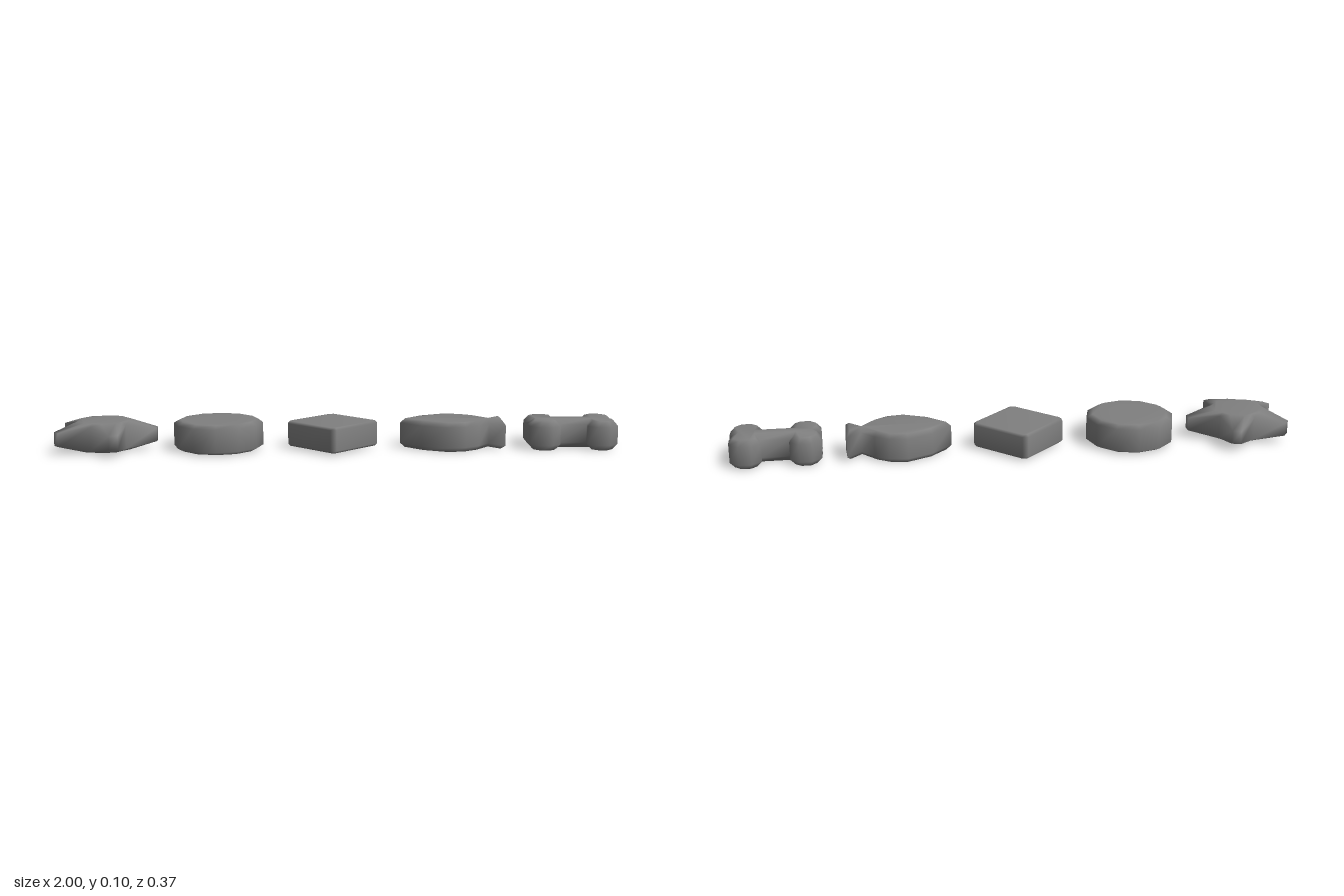
import * as THREE from 'three';

const MID = 0.0525; // height of the shared middle plane
const material = new THREE.MeshStandardMaterial({ color: 0x808080 });

// Moves a counter-clockwise outline inward with mitred corners.
function inset(points, d) {
  const n = points.length;
  const normal = (a, b) => new THREE.Vector2(b.y - a.y, a.x - b.x).normalize();
  return points.map((p, i) => {
    const n1 = normal(points[(i + n - 1) % n], p);
    const n2 = normal(p, points[(i + 1) % n]);
    const k = -d / (1 + n1.dot(n2));
    return p.clone().addScaledVector(n1.add(n2), k);
  });
}

// Skins rings (bottom to top) of { points, y } and caps both ends, smooth shaded.
function skin(name, rings, x) {
  const n = rings[0].points.length;
  const pos = [], index = [];
  for (const { points, y } of rings) {
    points.forEach((p, i) => pos.push(p.x, Array.isArray(y) ? y[i] : y, -p.y));
  }
  for (let r = 0; r < rings.length - 1; r++) {
    for (let i = 0; i < n; i++) {
      const a = r * n + i, b = r * n + (i + 1) % n;
      index.push(a, b, b + n, a, b + n, a + n);
    }
  }
  const top = (rings.length - 1) * n;
  for (const [a, b, c] of THREE.ShapeUtils.triangulateShape(rings[0].points, [])) {
    index.push(c, b, a, top + a, top + b, top + c);
  }
  const geometry = new THREE.BufferGeometry();
  geometry.setAttribute('position', new THREE.Float32BufferAttribute(pos, 3));
  geometry.setIndex(index);
  geometry.computeVertexNormals();
  const mesh = new THREE.Mesh(geometry, material);
  mesh.name = name;
  mesh.position.set(x, MID, 0);
  return mesh;
}

// Flat piece with a bevel of the given depth (inward) and drop (vertical).
function slab(name, points, half, depth, drop, x) {
  const inner = inset(points, depth);
  return skin(name, [
    { points: inner, y: -half },
    { points, y: -half + drop },
    { points, y: half - drop },
    { points: inner, y: half },
  ], x);
}

const polygon = (sides, r) => Array.from({ length: sides }, (_, i) => {
  const a = i / sides * Math.PI * 2;
  return new THREE.Vector2(Math.cos(a) * r, Math.sin(a) * r);
});

const outline = (pairs) => pairs.map(([x, y]) => new THREE.Vector2(x, y));

// Star with blunt arms that thin out toward the tips.
function star() {
  const outer = [], inner = [], heights = [];
  const O = new THREE.Vector2();
  for (let i = 0; i < 5; i++) {
    const a = i / 5 * Math.PI * 2;
    const add = (r, side, innerR, innerSide, turn, h) => {
      outer.push(new THREE.Vector2(r, side).rotateAround(O, turn));
      inner.push(new THREE.Vector2(innerR, innerSide).rotateAround(O, turn));
      heights.push(h);
    };
    add(0.188, -0.016, 0.092, -0.026, a, 0.024);
    add(0.188, 0.016, 0.092, 0.026, a, 0.024);
    add(0.106, 0, 0.088, 0, a + Math.PI / 5, 0.042);
  }
  return skin('star', [
    { points: inner, y: -0.052 },
    { points: outer, y: heights.map((h) => -h) },
    { points: outer, y: heights },
    { points: inner, y: 0.052 },
  ], -0.838);
}

// Fish: oval body with a pointed nose, narrowing to a flared tail.
function fish() {
  const lower = [
    [-0.1, -0.072], [-0.01, -0.115], [0.055, -0.105], [0.105, -0.072],
    [0.148, -0.02], [0.2, -0.072],
  ];
  const upper = lower.map(([x, y]) => [x, -y]).reverse();
  const points = outline([[-0.172, 0], ...lower, [0.203, 0], ...upper]);
  return slab('fish', points, 0.0525, 0.013, 0.016, 0.395);
}

// Bone: a shaft with two rounded knobs at each end.
function bone() {
  const quarter = [
    [0.146, 0], [0.16, 0.026], [0.158, 0.068], [0.126, 0.1],
    [0.08, 0.1], [0.048, 0.072], [0.052, 0.036],
  ];
  const mirrored = quarter.slice(1).reverse().map(([x, y]) => [-x, y]);
  const half = [...quarter, ...mirrored];
  const points = outline([...half, ...half.map(([x, y]) => [-x, -y])]);
  return slab('bone', points, 0.0525, 0.017, 0.02, 0.84);
}

export function createModel() {
  const model = new THREE.Group();
  model.name = 'shapedPieces';

  // Square turned on its corner, with slightly cut corners
  const diamond = [];
  for (const p of polygon(4, 0.16)) {
    const side = new THREE.Vector2(-p.y, p.x).multiplyScalar(0.07);
    diamond.push(p.clone().sub(side), p.clone().add(side));
  }

  model.add(
    star(),
    slab('disc', polygon(12, 0.16), 0.0525, 0.022, 0.012, -0.43),
    slab('diamond', diamond, 0.045, 0.008, 0.008, -0.02),
    fish(),
    bone(),
  );
  return model;
}
